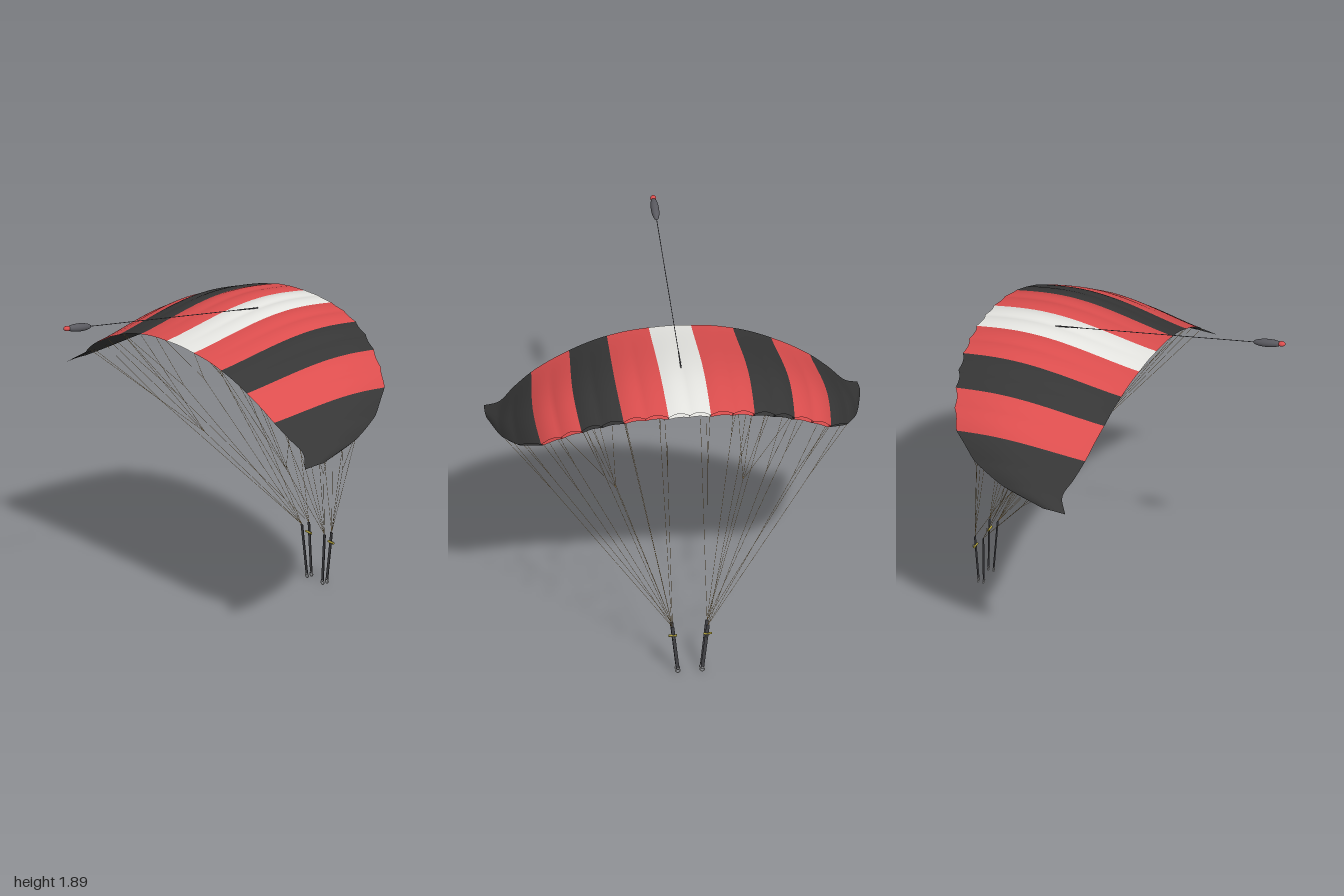
import * as THREE from 'three';

const mat = (name, color, side = THREE.DoubleSide) => {
  const m = new THREE.MeshStandardMaterial({ color, side });
  m.name = name;
  return m;
};

// Half-span stations, one per half cell: trailing edge xyz, leading edge xyz
const STATIONS = [
  [0, 1.58, 0.09, 0, 1.63, -0.857],
  [0.113, 1.575, 0.09, 0.113, 1.625, -0.857],
  [0.225, 1.565, 0.088, 0.235, 1.617, -0.845],
  [0.337, 1.543, 0.085, 0.35, 1.595, -0.83],
  [0.44, 1.513, 0.08, 0.465, 1.562, -0.805],
  [0.54, 1.472, 0.075, 0.57, 1.517, -0.775],
  [0.645, 1.422, 0.066, 0.675, 1.46, -0.735],
  [0.745, 1.362, 0.055, 0.775, 1.388, -0.68],
  [0.84, 1.293, 0.03, 0.88, 1.295, -0.53],
  [0.92, 1.227, 0.0, 0.95, 1.23, -0.34],
  [0.998, 1.172, 0.05, 0.998, 1.178, -0.08],
];
const TIP = STATIONS.length - 1;

function edgeCurve(o) {
  const pts = [];
  for (let k = -TIP; k <= TIP; k++) {
    const s = STATIONS[Math.abs(k)];
    pts.push(new THREE.Vector3(Math.sign(k) * s[o], s[o + 1], s[o + 2]));
  }
  return new THREE.CatmullRomCurve3(pts, false, 'catmullrom', 0.5);
}
const trailing = edgeCurve(0);
const leading = edgeCurve(3);

// Canopy point: k = span in half cells, v = 0 tail to 1 nose, upper or lower skin
function canopyPoint(k, v, upper) {
  const t = (k + TIP) / (2 * TIP);
  const te = trailing.getPoint(t), le = leading.getPoint(t);
  const size = (te.z - le.z) / 0.94;
  const tan = trailing.getPoint(Math.min(1, t + 0.01)).sub(trailing.getPoint(Math.max(0, t - 0.01)));
  const n = new THREE.Vector3(-tan.y, tan.x, 0).normalize();
  const bulge = Math.abs(Math.sin(Math.PI * k)) * Math.min(1, v * 1.5) * size;
  const camber = Math.sin(Math.PI * Math.pow(v, 1.3)) * 0.052 * size;
  const p = te.lerp(le, v);
  // the nose is cut back between ribs, giving a scalloped mouth
  p.z += 0.016 * bulge * Math.pow(v, 6);
  if (upper) return p.addScaledVector(n, camber + 0.008 * bulge);
  p.z += 0.016 * v * v * size;
  return p.addScaledVector(n, camber * 0.4 - 0.022 * v * size - 0.004 * bulge);
}

// Indexed surface from a grid of points
function gridGeometry(nu, nv, point) {
  const pos = [], idx = [];
  for (let i = 0; i <= nu; i++)
    for (let j = 0; j <= nv; j++) {
      const p = point(i / nu, j / nv);
      pos.push(p.x, p.y, p.z);
      if (i < nu && j < nv) {
        const a = i * (nv + 1) + j, b = a + nv + 1;
        idx.push(a, b, a + 1, b, b + 1, a + 1);
      }
    }
  const g = new THREE.BufferGeometry();
  g.setAttribute('position', new THREE.Float32BufferAttribute(pos, 3));
  g.setIndex(idx);
  g.computeVertexNormals();
  return g;
}

export function createModel() {
  const root = new THREE.Group();
  const red = mat('red fabric', 0xdc4e4e);
  const black = mat('black fabric', 0x363636);
  const white = mat('white fabric', 0xe6e6e2);
  const tan = mat('tan line', 0xc4a060);
  const grey = mat('dark grey', 0x5a5a60);
  const webbing = mat('black webbing', 0x424246);
  const olive = mat('olive toggle', 0xb0a03c);
  const steel = mat('steel', 0xc4c4c4);

  const add = (parent, name, geo, material) => {
    const m = new THREE.Mesh(geo, material);
    m.name = name;
    parent.add(m);
    return m;
  };
  const group = (name) => {
    const g = new THREE.Group();
    g.name = name;
    root.add(g);
    return g;
  };
  const up = new THREE.Vector3(0, 1, 0);
  const rod = (parent, name, a, b, r, material) => {
    const d = b.clone().sub(a);
    const m = add(parent, name, new THREE.CylinderGeometry(r, r, d.length(), 5), material);
    m.position.copy(a).lerp(b, 0.5);
    m.quaternion.setFromUnitVectors(up, d.normalize());
    return m;
  };

  // Striped canopy: upper and lower skins, open at the nose
  const canopy = group('canopy');
  const bounds = [-10, -7, -5, -3, -1, 1, 3, 5, 7, 10];
  const colours = [black, red, black, red, white, red, black, red, black];
  colours.forEach((c, i) => {
    const k0 = bounds[i], span = bounds[i + 1] - k0;
    for (const upper of [true, false])
      add(canopy, upper ? 'upperPanel' : 'lowerPanel',
        gridGeometry(span * 8, 24, (u, v) => canopyPoint(k0 + u * span, v, upper)), c);
  });

  // Ribs between the cells
  for (let k = -9; k <= 9; k++) {
    const i = bounds.findIndex((b) => b > k) - 1;
    add(canopy, 'rib', gridGeometry(1, 24, (u, v) =>
      canopyPoint(k, v, true).lerp(canopyPoint(k, v, false), u)), colours[i]);
  }

  const V = (x, y, z) => new THREE.Vector3(x, y, z);
  const lines = group('suspensionLines');
  const R = 0.0009;
  for (const s of [-1, 1]) {
    const frontTop = V(s * 0.095, 0.3, -0.873), rearTop = V(s * 0.095, 0.3, -0.825);

    // Cascaded line pairs: front riser to nose, rear riser to mid chord
    for (const k of [1, 3, 5, 7, 9])
      for (const [top, v1, v2] of [[frontTop, 0.97, 0.74], [rearTop, 0.5, 0.25]]) {
        const a = canopyPoint(s * k, v1, false), b = canopyPoint(s * k, v2, false);
        const joint = top.clone().lerp(a.clone().lerp(b, 0.5), 0.7);
        rod(lines, 'mainLine', top, joint, R, tan);
        rod(lines, 'upperLine', joint, a, R, tan);
        rod(lines, 'upperLine', joint, b, R, tan);
      }

    // Steering lines fanning out to the trailing edge
    const fan = V(s * 0.34, 0.87, -0.36);
    rod(lines, 'steeringLine', rearTop, fan, R, tan);
    for (const k of [3, 4.5, 6, 8])
      rod(lines, 'steeringLine', fan, canopyPoint(s * k, 0, false), R, tan);

    // Riser straps with end rings, and a steering toggle on a guide ring
    const riser = group(s > 0 ? 'leftRiser' : 'rightRiser');
    for (const [zTop, zLow] of [[-0.873, -0.865], [-0.825, -0.835]]) {
      const a = V(s * 0.065, 0.02, zLow), b = V(s * 0.095, 0.3, zTop);
      const d = b.clone().sub(a);
      const strap = add(riser, 'strap', new THREE.BoxGeometry(0.018, d.length(), 0.003), webbing);
      strap.position.copy(a).lerp(b, 0.5);
      strap.quaternion.setFromUnitVectors(up, d.normalize());
      const ring = add(riser, 'ring', new THREE.TorusGeometry(0.012, 0.003, 6, 18), steel);
      ring.position.set(s * 0.065, 0.015, zLow);
    }
    const toggle = add(riser, 'toggle', new THREE.CylinderGeometry(0.006, 0.006, 0.045, 10), olive);
    toggle.rotation.z = Math.PI / 2;
    toggle.position.set(s * 0.093, 0.244, -0.87);
    const guide = add(riser, 'guideRing', new THREE.TorusGeometry(0.009, 0.002, 6, 16), steel);
    guide.rotation.y = Math.PI / 2;
    guide.position.set(s * 0.09, 0.235, -0.88);
  }

  // Small drogue trailing on a cord
  const drogue = group('drogue');
  const anchor = V(0, 1.663, -0.445), tail = V(0, 1.85, 0.71);
  rod(drogue, 'cord', anchor, tail, 0.002, grey);
  rod(drogue, 'cordSleeve', anchor, anchor.clone().lerp(tail, 0.11), 0.0035, grey);
  const dir = V(0, 0.03, 0.18).normalize();
  const body = add(drogue, 'drogueBody', new THREE.SphereGeometry(1, 20, 14), grey);
  body.scale.set(0.022, 0.085, 0.022);
  body.position.set(0, 1.863, 0.785);
  body.quaternion.setFromUnitVectors(up, dir);
  const cap = add(drogue, 'drogueCap', new THREE.SphereGeometry(1, 16, 12), red);
  cap.scale.set(0.016, 0.021, 0.014);
  cap.position.set(0, 1.877, 0.866);
  cap.quaternion.copy(body.quaternion);

  return root;
}
